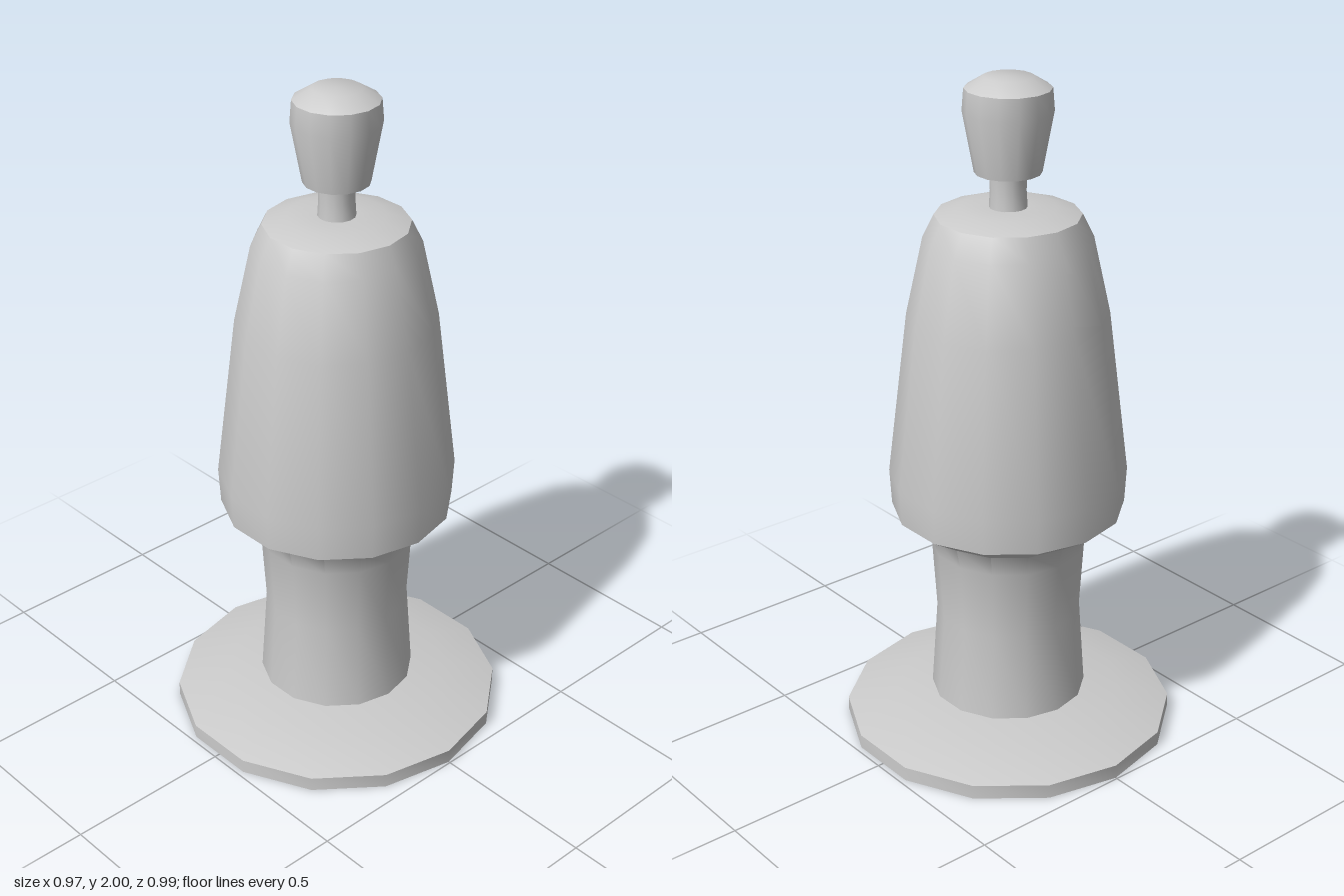
import * as THREE from 'three';
import { toCreasedNormals } from 'three/addons/utils/BufferGeometryUtils.js';

const SIDES = 14;

// Turned part from a [radius, height] profile running bottom to top
function turned(name, profile, material) {
  const points = profile.map(([r, y]) => new THREE.Vector2(r, y));
  const geometry = toCreasedNormals(new THREE.LatheGeometry(points, SIDES), THREE.MathUtils.degToRad(45));
  const mesh = new THREE.Mesh(geometry, material);
  mesh.name = name;
  return mesh;
}

export function createModel() {
  const group = new THREE.Group();
  group.name = 'turnedFigure';
  const material = new THREE.MeshStandardMaterial({ color: 0xcccccc });

  // Wide foot disc with a shallow bevelled top
  group.add(turned('base', [
    [0, 0], [0.495, 0], [0.495, 0.043], [0.34, 0.082], [0, 0.082],
  ], material));

  // Waisted column, flared bell-shaped body, thin neck and knob in one turning
  group.add(turned('body', [
    [0, 0.106], [0.233, 0.106], [0.215, 0.375], [0.228, 0.59], [0.245, 0.655], // column
    [0.344, 0.718], [0.35, 0.825], [0.29, 1.317], [0.24, 1.545], [0.208, 1.61], // bell
    [0.138, 1.632], [0.054, 1.632], [0.051, 1.68], [0.053, 1.732], // shoulder and neck
    [0.095, 1.732], [0.127, 1.905], [0.122, 1.968], [0.07, 2], [0, 2], // knob
  ], material));

  return group;
}
